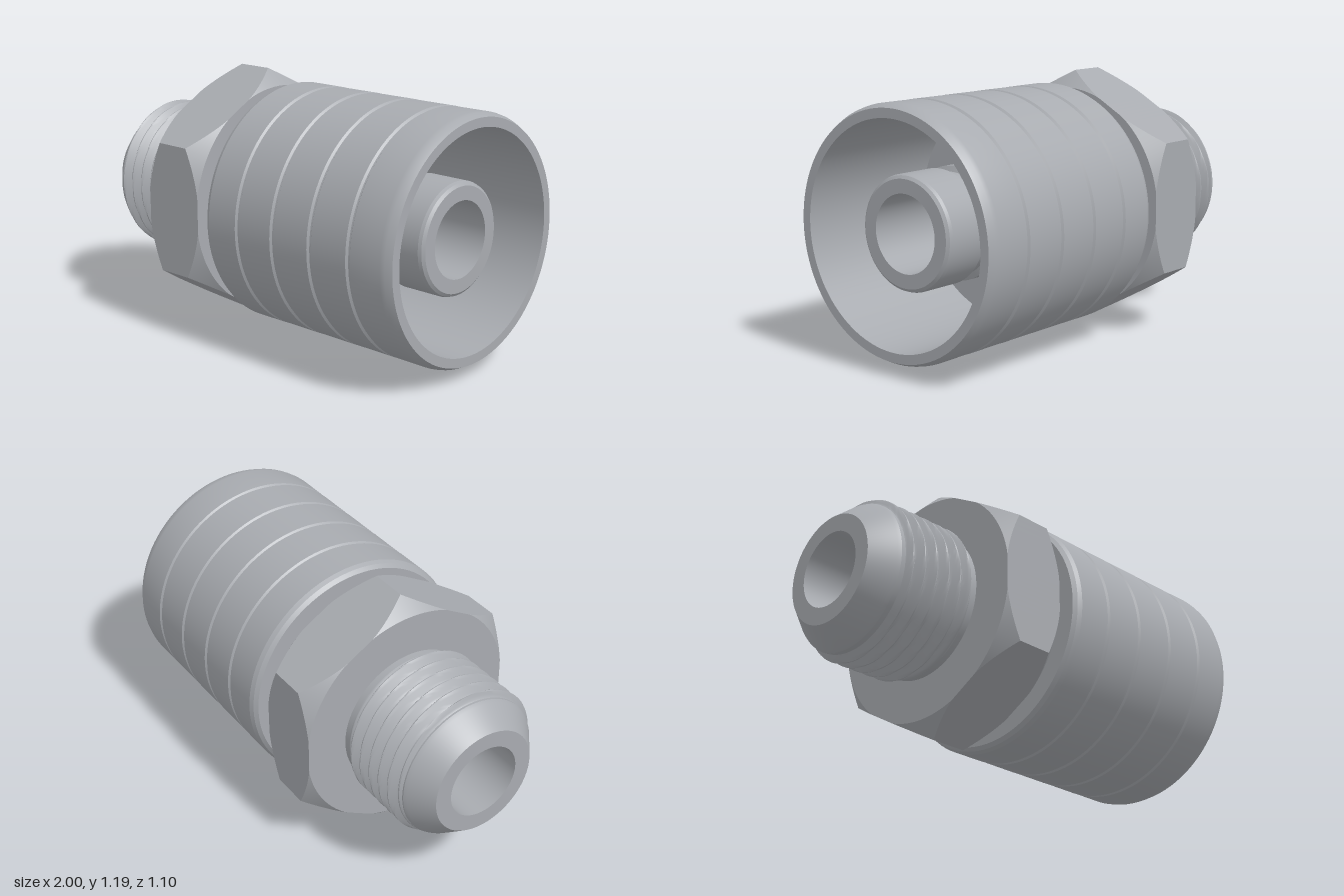
import * as THREE from 'three';
import { toCreasedNormals } from 'three/addons/utils/BufferGeometryUtils.js';

const AXIS_Y = 0.597;
const steel = new THREE.MeshStandardMaterial({ color: 0xa8abb0 });
steel.name = 'steel';

// Revolves [radius, x] points about the x axis, with an optional vertex rule
function turned(name, profile, { segments = 96, crease = 0.3, rule } = {}) {
  const points = profile.map(([r, x]) => new THREE.Vector2(r, x));
  let geometry = new THREE.LatheGeometry(points, segments);
  geometry.rotateZ(-Math.PI / 2);
  if (rule) {
    const p = geometry.attributes.position;
    for (let i = 0; i < p.count; i++) {
      const angle = Math.atan2(p.getZ(i), p.getY(i)); // from the top towards +z
      const [r, x] = rule(Math.hypot(p.getY(i), p.getZ(i)), p.getX(i), angle, i % points.length);
      p.setXYZ(i, x, r * Math.cos(angle), r * Math.sin(angle));
    }
  }
  geometry = toCreasedNormals(geometry, crease);
  const mesh = new THREE.Mesh(geometry, steel);
  mesh.name = name;
  mesh.position.y = AXIS_Y;
  return mesh;
}

// Outer sleeve: ringed outside, open cup inside
function sleeve() {
  const R = 0.55;
  const profile = [[0.3, -0.07], [0.525, -0.07], [0.541, -0.055], [R, -0.035]];
  for (const x of [0.14, 0.35, 0.565, 0.78]) {
    profile.push([R, x - 0.012], [R - 0.009, x - 0.004], [R - 0.009, x + 0.004], [R - 0.001, x + 0.012]);
  }
  profile.push([R, 0.95], [R - 0.004, 0.972], [0.532, 1], [0.49, 1], [0.49, 0.3], [0.2, 0.3]);
  return turned('sleeve', profile);
}

// Inner tube: nipple in the cup, through bore and the flared nose
function innerTube() {
  return turned('innerTube', [
    [0.25, 0.28], [0.25, 0.62], [0.225, 0.63], [0.225, 0.7], [0.25, 0.71],
    [0.25, 0.895], [0.245, 0.91], [0.232, 0.92], [0.17, 0.92],
    [0.17, -1], [0.247, -1], [0.325, -0.905], [0.333, -0.89], [0.333, -0.865],
  ]);
}

// Hex nut whose corners are cut by a cone at both ends
function hexNut() {
  const x0 = -0.465, x1 = -0.145, apothem = 0.517, cut = 0.523;
  const rule = (r, x, angle, row) => {
    const sector = Math.PI / 3;
    const a = ((angle % sector) + sector + 1e-7) % sector - sector / 2;
    const hex = apothem / Math.cos(a);
    const drop = Math.max(0, hex - cut);
    if (row === 1 || row === 4) return [Math.min(hex, cut), x];
    if (row === 2) return [hex, x0 + drop];
    if (row === 3) return [hex, x1 - drop];
    return [r, x];
  };
  const profile = [[0.25, x0], [0.5, x0], [0.5, x0], [0.5, x1], [0.5, x1], [0.25, x1]];
  return turned('hexNut', profile, { segments: 144, crease: 0.35, rule });
}

// Helical external thread
function thread() {
  const start = -0.885, end = -0.495, pitch = 0.066, root = 0.319, crest = 0.361, steps = 84;
  const profile = [];
  for (let i = 0; i <= steps; i++) profile.push([root, start + (end - start) * i / steps]);
  const rule = (r, x, angle) => {
    const turn = (x + 0.865) / pitch - angle / (2 * Math.PI);
    const wave = Math.abs(turn - Math.round(turn)) * 2; // 0 on the crest, 1 in the root
    const height = THREE.MathUtils.clamp(1.1 - 1.2 * wave, 0, 1);
    const fade = Math.min(1, (x - start) / 0.018, (end - x) / 0.03);
    return [THREE.MathUtils.lerp(0.33, root + (crest - root) * height, fade), x];
  };
  return turned('thread', profile, { crease: 0.5, rule });
}

export function createModel() {
  const model = new THREE.Group();
  model.name = 'hoseCoupling';
  model.add(
    sleeve(),
    innerTube(),
    hexNut(),
    thread(),
    turned('threadNeck', [[0.33, -0.497], [0.33, -0.46]]),
    turned('collar', [[0.4, -0.15], [0.4, -0.065]]),
  );
  return model;
}
